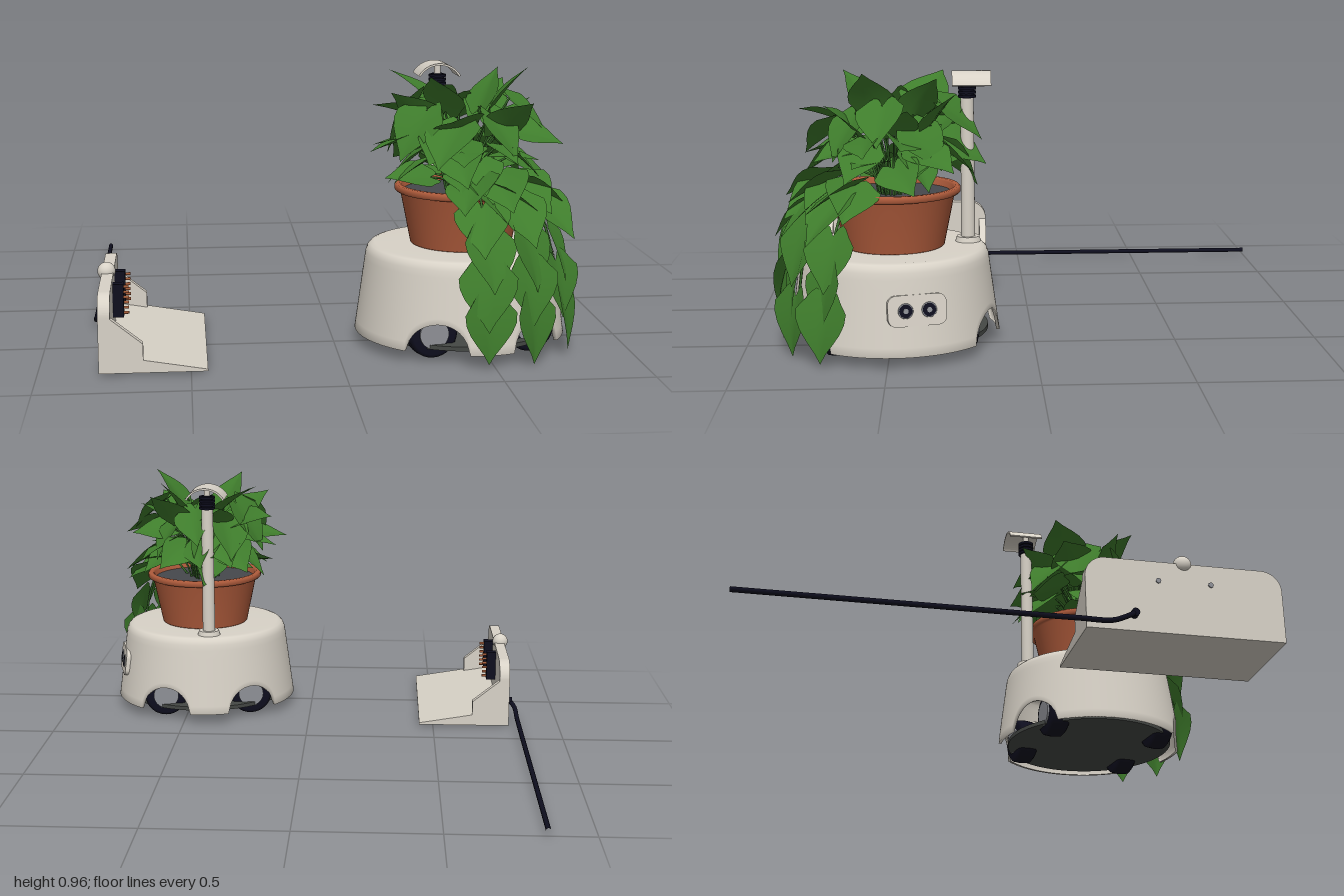
import * as THREE from 'three';
import { mergeGeometries } from 'three/addons/utils/BufferGeometryUtils.js';

const mat = (name, color, side = THREE.FrontSide) => {
  const m = new THREE.MeshStandardMaterial({ color, side });
  m.name = name;
  return m;
};
const V = (x, y, z) => new THREE.Vector3(x, y, z);

export function createModel() {
  const cream = mat('cream plastic', 0xd8d2c7, THREE.DoubleSide);
  const black = mat('black rubber', 0x0e0e1e);
  const grey = mat('grey hub', 0x8e9096);
  const under = mat('dark underside', 0x454845);
  const clay = mat('terracotta', 0xb05c3c, THREE.DoubleSide);
  const soilMat = mat('soil', 0x46484c);
  const green = mat('leaf green', 0x3f7d2c, THREE.DoubleSide);
  const stemMat = mat('stem green', 0x376a2a);
  const copper = mat('copper', 0xa05a38);

  const model = new THREE.Group();
  const add = (parent, name, geo, material, x = 0, y = 0, z = 0) => {
    const m = new THREE.Mesh(geo, material);
    m.name = name;
    m.position.set(x, y, z);
    parent.add(m);
    return m;
  };
  const group = (parent, name, x = 0, y = 0, z = 0) => {
    const g = new THREE.Group();
    g.name = name;
    g.position.set(x, y, z);
    parent.add(g);
    return g;
  };
  const cyl = (r1, r2, h, n = 32) => new THREE.CylinderGeometry(r1, r2, h, n);
  const lathe = (pts, n = 64) => new THREE.LatheGeometry(pts.map(p => new THREE.Vector2(...p)), n);
  const extrude = (shape, depth) => new THREE.ExtrudeGeometry(shape, { depth, bevelEnabled: false, curveSegments: 10 });
  const polygon = pts => new THREE.Shape(pts.map(p => new THREE.Vector2(...p)));
  const tube = (pts, r, n = 12, sides = 6) => new THREE.TubeGeometry(new THREE.CatmullRomCurve3(pts), n, r, sides);

  // ---------- Rolling base ----------
  const robot = group(model, 'rollingBase', 0.444, 0, 0.485);
  robot.rotation.y = 0.14;

  const Y0 = 0.065, Y1 = 0.32, WX = 0.172;
  const wallR = y => 0.366 - 0.135 * (y - Y0);
  const profile = [[0.355, Y0]];
  for (let i = 0; i <= 8; i++) {
    const y = Y0 + (Y1 - Y0) * i / 8;
    profile.push([wallR(y), y]);
  }
  profile.push([0.328, 0.342], [0.322, 0.357], [0.312, 0.367], [0.298, 0.372], [0.15, 0.372], [0, 0.372]);
  const shell = lathe(profile, 180);
  // raise the lower edge into an arch over every wheel
  const sp = shell.attributes.position;
  for (let i = 0; i < sp.count; i++) {
    const x = sp.getX(i), y = sp.getY(i), z = sp.getZ(i);
    if (y > Y1) continue;
    const d = (Math.abs(x) * 0.36 / Math.hypot(x, z) - WX) / 0.093;
    const edge = Y0 + 0.1 * Math.sqrt(Math.max(0, 1 - d * d));
    const ny = edge + (Y1 - edge) * (y - Y0) / (Y1 - Y0);
    const k = wallR(ny) / wallR(y);
    sp.setXYZ(i, x * k, ny, z * k);
  }
  add(robot, 'shell', shell, cream);
  add(robot, 'underside', cyl(0.325, 0.325, 0.015, 64), under, 0, 0.078, 0);

  // two wheels on each flank, axles parallel, tucked inside the arches
  const tyreGeo = lathe([[0, -0.04], [0.072, -0.04], [0.084, -0.03], [0.087, 0], [0.084, 0.03], [0.072, 0.04], [0, 0.04]], 32);
  tyreGeo.rotateX(Math.PI / 2);
  for (const sx of [-1, 1]) for (const sz of [-1, 1]) {
    const wheel = group(robot, 'wheel', sx * WX, 0.12, sz * 0.218);
    add(wheel, 'tyre', tyreGeo, black);
    add(wheel, 'hub', cyl(0.05, 0.05, 0.012).rotateX(Math.PI / 2), grey, 0, 0, sz * 0.041);
  }

  // sensor panel on the side wall
  const roundedRect = (w, h, r) => {
    const s = new THREE.Shape();
    s.absarc(w / 2 - r, h / 2 - r, r, 0, Math.PI / 2);
    s.absarc(-w / 2 + r, h / 2 - r, r, Math.PI / 2, Math.PI);
    s.absarc(-w / 2 + r, -h / 2 + r, r, Math.PI, Math.PI * 1.5);
    s.absarc(w / 2 - r, -h / 2 + r, r, Math.PI * 1.5, Math.PI * 2);
    return s;
  };
  const panel = group(robot, 'sensorPanel', 0, 0.218, 0);
  panel.rotation.y = Math.PI / 2 + 0.11;
  const face = group(panel, 'sensorFace', 0, 0, 0.33);
  face.rotation.x = -0.13;
  add(face, 'panelPlate', extrude(roundedRect(0.2, 0.105, 0.03), 0.018), cream);
  for (const s of [-1, 1]) {
    add(face, 'sensorRing', new THREE.TorusGeometry(0.023, 0.003, 8, 28), grey, s * 0.04, 0, 0.018);
    add(face, 'sensorEye', cyl(0.022, 0.022, 0.008).rotateX(Math.PI / 2), black, s * 0.04, 0, 0.018);
    add(face, 'sensorLens', cyl(0.009, 0.009, 0.004, 16).rotateX(Math.PI / 2), grey, s * 0.04, 0, 0.022);
  }

  // mast with ribbed collar and curved canopy
  const mast = group(model, 'mast', 0.402, 0, 0.227);
  add(mast, 'flange', cyl(0.04, 0.045, 0.018), cream, 0, 0.381, 0);
  add(mast, 'pole', cyl(0.023, 0.025, 0.5), cream, 0, 0.63, 0);
  for (let i = 0; i < 4; i++) add(mast, 'collarRing', cyl(0.031, 0.031, 0.009), black, 0, 0.886 + i * 0.014, 0);
  add(mast, 'collarCore', cyl(0.023, 0.023, 0.06), black, 0, 0.905, 0);
  add(mast, 'canopyStub', cyl(0.012, 0.012, 0.045, 16), cream, 0, 0.95, 0);
  const arc = new THREE.Shape();
  arc.absarc(0, 0, 0.088, Math.PI / 2 - 1.05, Math.PI / 2 + 1.05, false);
  arc.absarc(0, 0, 0.081, Math.PI / 2 + 1.05, Math.PI / 2 - 1.05, true);
  add(mast, 'canopy', extrude(arc, 0.135), cream, 0, 0.887, -0.083);

  // ---------- Pot ----------
  const plant = group(model, 'pottedPlant', 0.447, 0, 0.485);
  add(plant, 'pot', lathe([[0, 0.371], [0.172, 0.371], [0.176, 0.376], [0.213, 0.556], [0.227, 0.556], [0.233, 0.562],
    [0.233, 0.575], [0.228, 0.581], [0.214, 0.581], [0.208, 0.574], [0.2, 0.535]]), clay);
  add(plant, 'soil', cyl(0.203, 0.203, 0.01, 48), soilMat, 0, 0.55, 0);

  // ---------- Leaves ----------
  // heart-shaped leaf along +y, folded at the midrib and drooping at the tip
  const widths = [0.7, 1, 0.97, 0.8, 0.53, 0.23, 0];
  const leafGeo = new THREE.PlaneGeometry(2, 1, 8, 6);
  const lp = leafGeo.attributes.position;
  for (let i = 0; i < lp.count; i++) {
    const u = lp.getX(i), v = lp.getY(i) + 0.5, a = Math.abs(u);
    const w = 0.46 * widths[Math.round(v * 6)];
    const lobe = 0.2 * Math.sin(Math.PI * Math.min(1, a * 1.05)) * (1 - v) ** 3;
    lp.setXYZ(i, u * w, v - lobe, 0.18 * a * w - 0.14 * v * v);
  }
  leafGeo.computeVertexNormals();

  let seed = 11;
  const rnd = () => (seed = (seed * 16807) % 2147483647) / 2147483647;
  const vary = s => (rnd() - 0.5) * 2 * s;
  const up = V(0, 1, 0);
  const leafAt = (pos, az, pitch, size, roll) => {
    const out = V(Math.cos(az), 0, Math.sin(az));
    const d = out.clone().multiplyScalar(Math.cos(pitch)).addScaledVector(up, Math.sin(pitch));
    const n = up.clone().multiplyScalar(Math.cos(pitch)).addScaledVector(out, -Math.sin(pitch)).applyAxisAngle(d, roll);
    const x = d.clone().cross(n);
    const m = new THREE.Matrix4().makeBasis(x, d, n).scale(V(size, size, size)).setPosition(pos);
    return leafGeo.clone().applyMatrix4(m);
  };

  // bush: rings of [count, radius, height, pitch, leaf size]
  const leaves = [], stems = [];
  const rings = [
    [4, 0.11, 0.86, 0.85, 0.19], [7, 0.14, 0.81, 0.6, 0.18], [8, 0.15, 0.84, -0.75, 0.2],
    [10, 0.15, 0.75, -0.2, 0.17], [10, 0.15, 0.7, -0.5, 0.18], [6, 0.12, 0.64, 0.1, 0.16],
  ];
  rings.forEach(([count, r, y, pitch, size], k) => {
    for (let i = 0; i < count; i++) {
      const az = (i + 0.5 + 0.4 * k) / count * Math.PI * 2 + vary(0.2);
      const rr = r * (1 + vary(0.2));
      const p = V(Math.cos(az) * rr, y + vary(0.04), Math.sin(az) * rr);
      leaves.push(leafAt(p, az + vary(0.35), pitch + vary(0.25), size * (1 + vary(0.12)), vary(0.6)));
      const root = V(p.x * 0.3, 0.54, p.z * 0.3);
      stems.push(tube([root, V(p.x * 0.5, (p.y + 0.58) / 2, p.z * 0.5), p], 0.004, 6, 5));
    }
  });

  // trailing vines over the front rim: [radius, height, pitch, sideways turn] per leaf
  const vineLeaves = [
    [0.2, 0.62, -0.3, 0.5], [0.21, 0.6, -0.4, -0.5], [0.27, 0.56, -0.6, 0.2],
    [0.325, 0.47, -1.05, -0.15], [0.355, 0.36, -1.2, 0.15], [0.375, 0.235, -1.3, -0.1],
  ];
  for (const deg of [86, 61, 36]) {
    const az = THREE.MathUtils.degToRad(deg);
    const at = (r, y) => V(Math.cos(az) * r, y, Math.sin(az) * r);
    stems.push(tube([at(0.08, 0.54), at(0.19, 0.61), at(0.25, 0.57), at(0.31, 0.47), at(0.345, 0.35), at(0.365, 0.22)], 0.005, 24, 5));
    for (const [r, y, pitch, turn] of vineLeaves) {
      leaves.push(leafAt(at(r, y + vary(0.015)), az + turn, pitch + vary(0.06), 0.205 + vary(0.01), turn * 0.6));
    }
  }
  add(plant, 'leaves', mergeGeometries(leaves), green);
  add(plant, 'stems', mergeGeometries(stems), stemMat);

  // ---------- Charging dock ----------
  const dock = group(model, 'chargingDock');
  const Z0 = 0.142, Z1 = 0.825, ZM = (Z0 + Z1) / 2;
  const ramp = polygon([[-0.78, 0.033], [-0.445, 0.033], [-0.445, 0.04], [-0.78, 0.097]]);
  add(dock, 'ramp', extrude(ramp, Z1 - Z0), cream, 0, 0, Z0);
  const wing = polygon([[-0.78, 0.05], [-0.655, 0.05], [-0.655, 0.13], [-0.76, 0.215], [-0.78, 0.215]]);
  for (const z of [Z0, Z1 - 0.028]) add(dock, 'sideWing', extrude(wing, 0.028), cream, 0, 0, z);
  const h = (Z1 - Z0) / 2, c = 0.07;
  const plate = new THREE.Shape();
  plate.moveTo(-h, 0.033);
  plate.lineTo(h, 0.033);
  plate.absarc(h - c, 0.29 - c, c, 0, Math.PI / 2);
  plate.absarc(-h + c, 0.29 - c, c, Math.PI / 2, Math.PI);
  add(dock, 'backPlate', extrude(plate, 0.04).rotateY(Math.PI / 2), cream, -0.8, 0, ZM);
  add(dock, 'beaconBall', new THREE.SphereGeometry(0.031, 32, 20), cream, -0.784, 0.293, ZM);
  for (const z of [ZM - 0.091, ZM + 0.091]) {
    add(dock, 'contactBlock', new THREE.BoxGeometry(0.037, 0.115, 0.038), black, -0.742, 0.214, z);
    for (let i = 0; i < 6; i++) {
      add(dock, 'contactPin', cyl(0.005, 0.005, 0.018, 12).rotateZ(Math.PI / 2), copper, -0.715, 0.169 + i * 0.018, z);
    }
    add(dock, 'backScrew', cyl(0.009, 0.009, 0.006, 16).rotateZ(Math.PI / 2), grey, -0.801, 0.22, z);
  }

  // power cable
  add(dock, 'cable', tube([V(-0.795, 0.09, 0.305), V(-0.815, 0.088, 0.3), V(-0.833, 0.07, 0.275), V(-0.838, 0.047, 0.22),
    V(-0.838, 0.045, 0.1), V(-0.838, 0.045, -0.4), V(-0.838, 0.045, -1)], 0.009, 90, 10), black);
  add(dock, 'cableSleeve', cyl(0.014, 0.014, 0.03, 16).rotateZ(Math.PI / 2), black, -0.81, 0.09, 0.303);
  return model;
}
